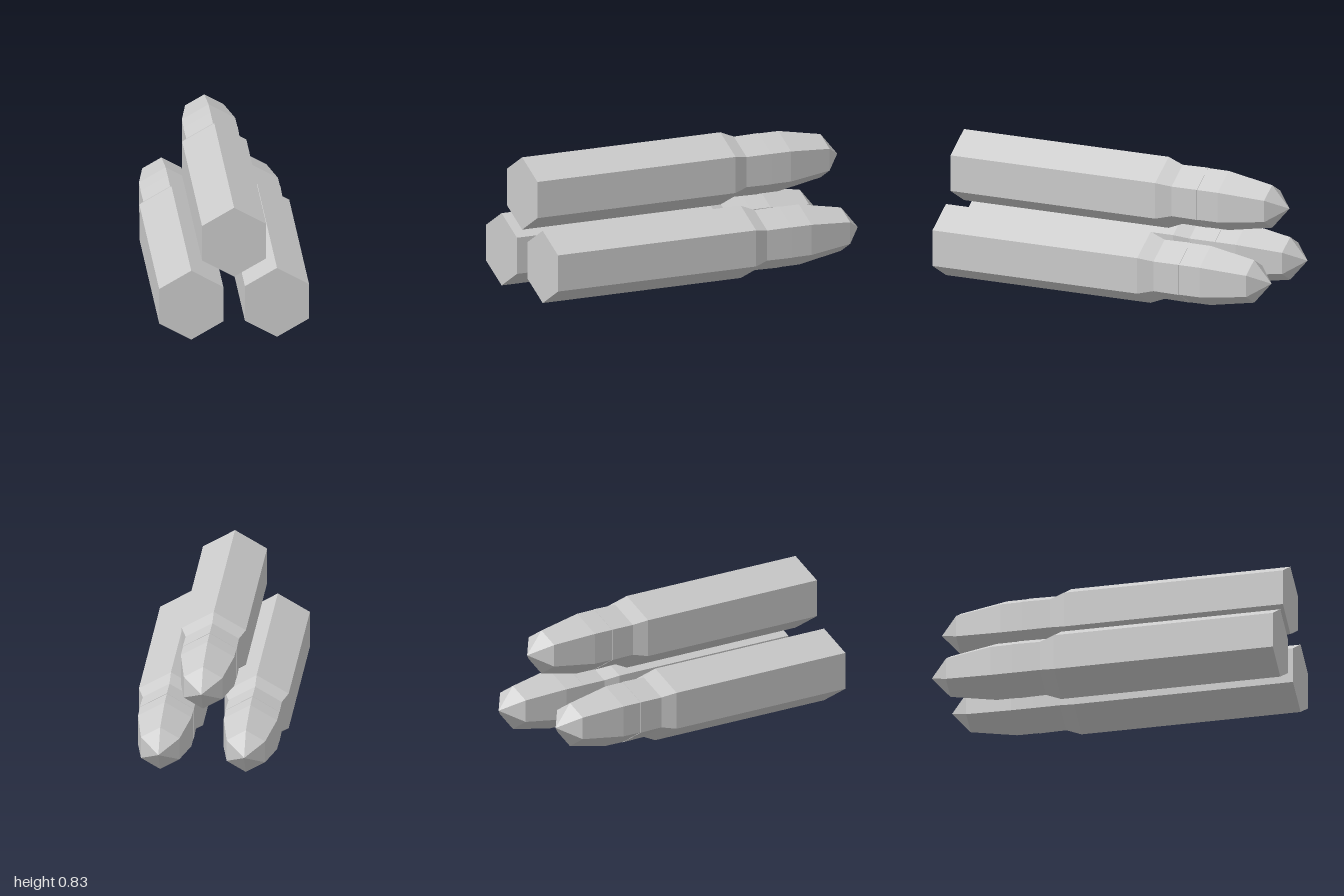
import * as THREE from 'three';

// Six-sided turned solid along +z, faceted, with a corner pointing up
function hexLathe(profile) {
  const points = profile.map(([r, t]) => new THREE.Vector2(r, t * Math.SQRT2));
  const geometry = new THREE.LatheGeometry(points, 6).toNonIndexed();
  geometry.rotateX(Math.PI / 2);
  geometry.computeVertexNormals();
  return geometry;
}

export function createModel() {
  const model = new THREE.Group();
  model.name = 'cartridges';
  const grey = new THREE.MeshStandardMaterial({ color: 0xcccccc });
  grey.name = 'light grey';

  // Casing: flat base, long body, shoulder and neck
  const casingGeometry = hexLathe([
    [0, 0], [0.22, 0], [0.22, 0.943], [0.183, 1.008], [0.186, 1.125], [0, 1.125],
  ]);
  // Projectile: seated inside the neck, tapering to a point
  const projectileGeometry = hexLathe([
    [0, 1.085], [0.184, 1.085], [0.183, 1.22], [0.132, 1.42], [0, 1.5],
  ]);

  // Two rounds side by side and one stacked on top
  const rounds = [
    ['leftRound', -0.505, 0.22, 0.865],
    ['rightRound', -0.865, 0.22, 0.505],
    ['topRound', -0.685, 0.613, 0.685],
  ];
  for (const [name, x, y, z] of rounds) {
    const round = new THREE.Group();
    round.name = name;
    const casing = new THREE.Mesh(casingGeometry, grey);
    casing.name = 'casing';
    const projectile = new THREE.Mesh(projectileGeometry, grey);
    projectile.name = 'projectile';
    round.add(casing, projectile);
    round.position.set(x, y, z);
    round.rotation.y = Math.PI * 0.75;
    model.add(round);
  }
  return model;
}
